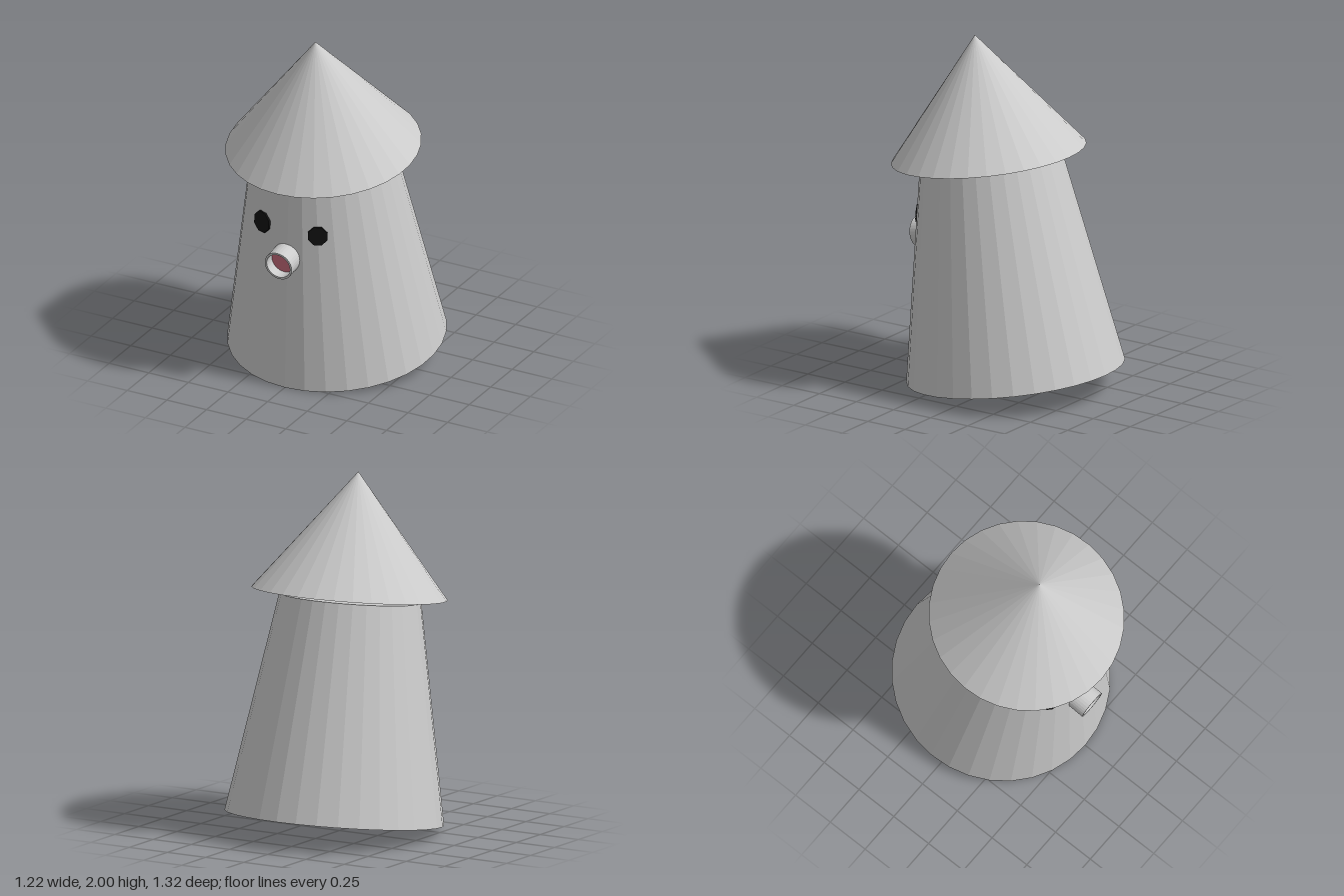
import * as THREE from 'three';

const TILT = 0.137; // whole figure leans forward

function paint(color, extra = {}) {
  return new THREE.MeshStandardMaterial({ color, ...extra });
}

export function createModel() {
  const model = new THREE.Group();
  const grey = paint(0xcccccc, { flatShading: true });
  const black = paint(0x111111);
  const pink = paint(0xca6e7d);

  function add(name, geometry, material, position, parent = model) {
    const mesh = new THREE.Mesh(geometry, material);
    mesh.name = name;
    mesh.position.set(...position);
    parent.add(mesh);
    return mesh;
  }

  // Tapered body and the cone hat hovering just above it
  const body = add('body', new THREE.CylinderGeometry(0.396, 0.611, 1.2275, 32), grey, [0, 0.6955, 0.029]);
  body.rotation.x = TILT;
  const hat = add('hat', new THREE.ConeGeometry(0.546, 0.68, 32), grey, [0.01, 1.6632, 0.1665]);
  hat.rotation.x = TILT;

  // Thin octagonal eyes lying on the body's curve
  const eyes = [
    ['rightEye', 0.065, [-0.178, 0.96, 0.479], -0.36],
    ['leftEye', 0.058, [0.17, 0.953, 0.48], 0.42],
  ];
  for (const [name, radius, position, yaw] of eyes) {
    const disc = new THREE.CylinderGeometry(radius, radius, 0.02, 8);
    disc.rotateY(Math.PI / 8).rotateX(Math.PI / 2);
    const eye = add(name, disc, black, position);
    eye.rotation.set(-0.035, yaw, 0, 'YXZ');
  }

  // Hollow round mouth with a recessed pink disc; its opening is at local z = 0
  const mouth = new THREE.Group();
  mouth.name = 'mouth';
  mouth.position.set(-0.01, 0.778, 0.608);
  mouth.rotation.x = TILT;
  model.add(mouth);
  const profile = [[0.073, -0.13], [0.073, 0], [0.085, 0], [0.085, -0.13]]
    .map(([r, y]) => new THREE.Vector2(r, y));
  const ring = new THREE.LatheGeometry(profile, 32).rotateX(Math.PI / 2);
  add('mouthRing', ring, paint(0xcccccc, { flatShading: true, side: THREE.DoubleSide }), [0, 0, 0], mouth);
  add('mouthInside', new THREE.CircleGeometry(0.0735, 32), pink, [0, 0, -0.06], mouth);

  return model;
}
